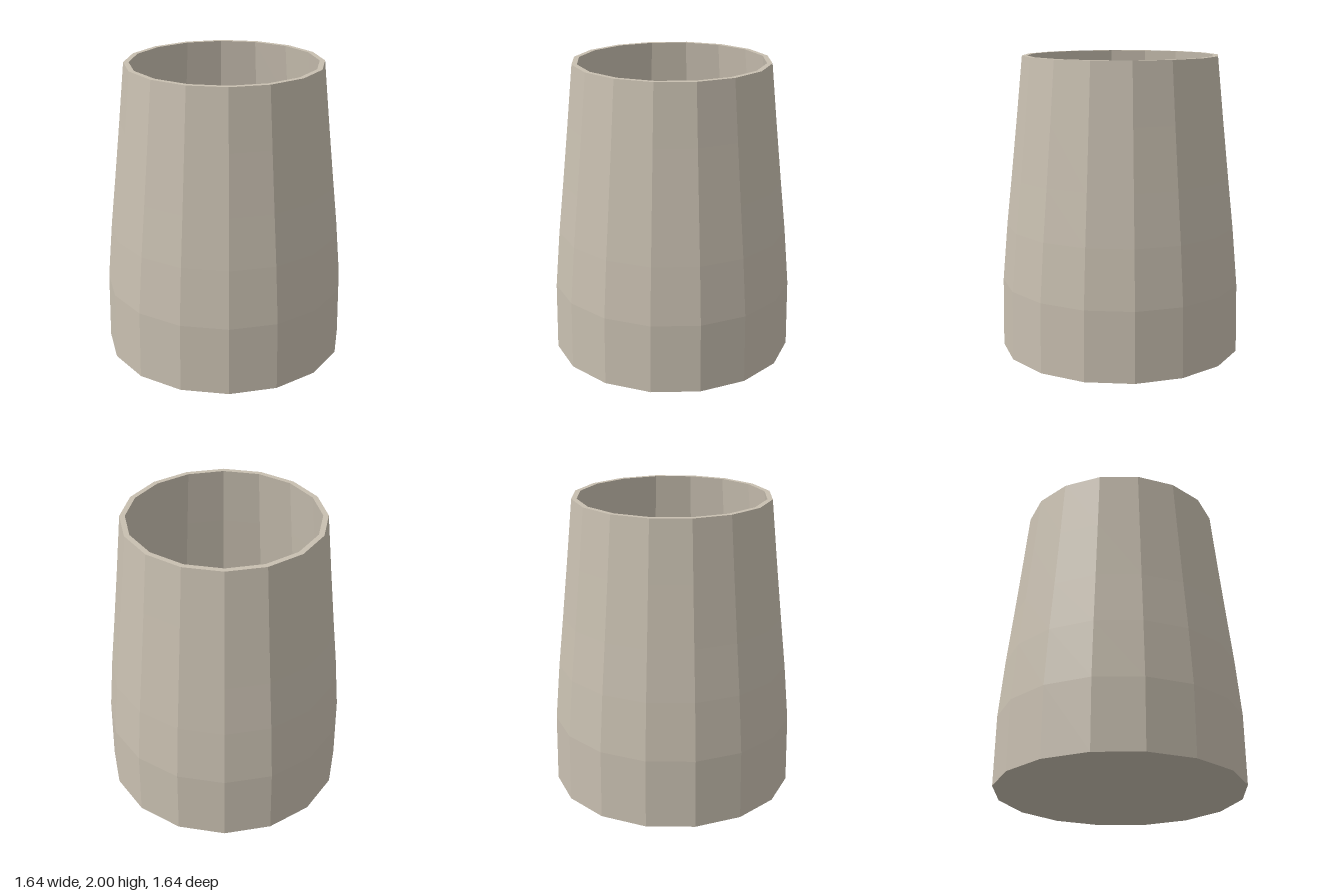
import * as THREE from 'three';

const SIDES = 16;
const WALL = 0.035;
const FLOOR = 0.05;

// Outer wall profile: [radius, height]
const OUTER = [[0.822, 0], [0.815, 0.47], [0.78, 0.86], [0.742, 1.2], [0.699, 1.6], [0.658, 2]];

// Turned surface with flat facets
function facetedLathe(profile) {
  const points = profile.map(([r, y]) => new THREE.Vector2(r, y));
  const geometry = new THREE.LatheGeometry(points, SIDES).toNonIndexed();
  geometry.computeVertexNormals();
  return geometry;
}

export function createModel() {
  const group = new THREE.Group();
  group.name = 'cup';

  const clay = new THREE.MeshStandardMaterial({ color: 0xc8bfb0 });
  clay.name = 'warm grey clay';

  const add = (name, profile) => {
    const mesh = new THREE.Mesh(facetedLathe(profile), clay);
    mesh.name = name;
    group.add(mesh);
  };

  // Inner wall follows the outer one, from the rim down to the floor
  const inner = OUTER.map(([r, y]) => [r - WALL, Math.max(y, FLOOR)]).reverse();
  const top = OUTER[OUTER.length - 1];

  add('base', [[0, 0], OUTER[0]]);
  add('outerWall', OUTER);
  add('rim', [top, inner[0]]);
  add('innerWall', inner);
  add('floor', [inner[inner.length - 1], [0, FLOOR]]);

  return group;
}
